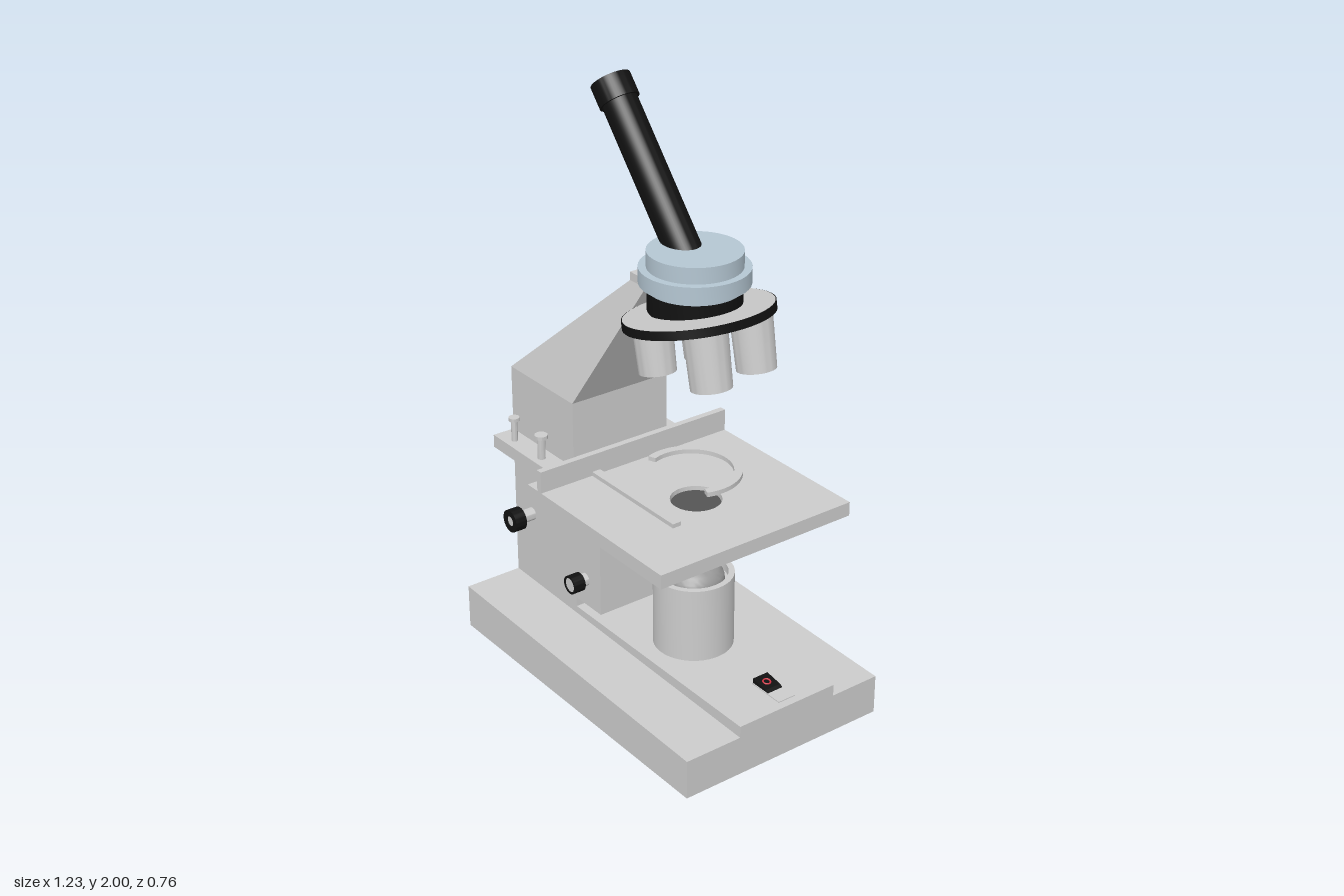
import * as THREE from 'three';
import { toCreasedNormals } from 'three/addons/utils/BufferGeometryUtils.js';

const mat = (color) => new THREE.MeshStandardMaterial({ color });
const grey = mat(0xcccccc), black = mat(0x111111), blue = mat(0xb4c6d2);
const glass = mat(0x555555), red = mat(0xd03040);
const CZ = -0.018; // centre plane of the instrument

export function createModel() {
  const root = new THREE.Group();

  const add = (name, geo, material, x = 0, y = 0, z = 0, parent = root) => {
    const mesh = new THREE.Mesh(geo, material);
    mesh.name = name;
    mesh.position.set(x, y, z);
    parent.add(mesh);
    return mesh;
  };
  // Box given by its limits
  const box = (name, x0, x1, y0, y1, z0, z1, material = grey) =>
    add(name, new THREE.BoxGeometry(x1 - x0, y1 - y0, z1 - z0), material,
      (x0 + x1) / 2, (y0 + y1) / 2, (z0 + z1) / 2);
  // Side outline in x, y extruded from z0 to z1
  const slab = (name, pts, z0, z1, material = grey) => {
    const shape = new THREE.Shape(pts.map((p) => new THREE.Vector2(...p)));
    return add(name, new THREE.ExtrudeGeometry(shape, { depth: z1 - z0, bevelEnabled: false }),
      material, 0, 0, z0);
  };
  // Turned part with sharp edges; profile is [radius, y], bottom to top
  const turned = (name, profile, material, x, y, z, parent = root) => {
    const geo = new THREE.LatheGeometry(profile.map((p) => new THREE.Vector2(...p)), 48);
    return add(name, toCreasedNormals(geo, 0.6), material, x, y, z, parent);
  };
  const rod = (r, h) => [[0, 0], [r, 0], [r, h], [0, h]];
  // Flat shape lying in x, z, extruded upwards from y
  const plate = (name, shape, height, y, x = 0, z = 0) => {
    const geo = new THREE.ExtrudeGeometry(shape, { depth: height, bevelEnabled: false, curveSegments: 32 });
    geo.rotateX(-Math.PI / 2);
    return add(name, toCreasedNormals(geo, 0.6), grey, x, y, z);
  };

  // Base with gently sloping shelves and a raised centre strip
  slab('base', [[-0.615, 0], [0.612, 0], [0.612, 0.135], [-0.615, 0.155]], -0.386, 0.376);
  box('baseStrip', -0.4, 0.612, 0.1, 0.175, -0.206, 0.171);

  // Column and focusing body
  slab('column', [[-0.615, 0.14], [-0.26, 0.14], [-0.26, 0.21], [-0.12, 0.21], [-0.12, 0.652],
    [-0.26, 0.652], [-0.26, 0.93], [-0.615, 0.93]], -0.206, 0.171);

  // Arm: a box whose ends are moved to the column top and the head bracket
  const armGeo = new THREE.BoxGeometry(1, 1, 1).toNonIndexed();
  const p = armGeo.attributes.position;
  for (let i = 0; i < p.count; i++) {
    const top = p.getY(i) > 0, right = p.getX(i) > 0, front = p.getZ(i) > 0;
    if (top) p.setXYZ(i, right ? -0.025 : -0.105, 1.38, front ? 0.052 : -0.088);
    else p.setXYZ(i, right ? -0.26 : -0.615, 0.93, front ? 0.171 : -0.206);
  }
  armGeo.computeVertexNormals();
  add('arm', armGeo, grey);
  box('headBracket', -0.105, 0.02, 1.372, 1.408, -0.088, 0.052);

  // Stage with a round opening, side wings and back rail
  const stage = new THREE.Shape();
  stage.moveTo(-0.255, -0.353).lineTo(0.452, -0.353).lineTo(0.452, 0.389).lineTo(-0.255, 0.389);
  const hole = new THREE.Path();
  hole.absarc(0.143, -CZ, 0.083, 0, Math.PI * 2, true);
  stage.holes.push(hole);
  plate('stage', stage, 0.048, 0.652);
  box('stageWings', -0.615, -0.25, 0.654, 0.699, -0.287, 0.25);
  box('stageRail', -0.2, -0.178, 0.69, 0.775, -0.389, 0.353);

  // Slide holder: straight clip and curved clip
  box('straightClip', -0.18, 0.25, 0.698, 0.714, 0.124, 0.155);
  const arc = new THREE.Shape();
  arc.absarc(0, 0, 0.166, -0.35, Math.PI + 0.35, false);
  arc.absarc(0, 0, 0.138, Math.PI + 0.35, -0.35, true);
  plate('curvedClip', arc, 0.016, 0.699, 0, -0.11);

  // Wing screws
  for (const [x, r] of [[-0.54, 0.018], [-0.38, 0.022]]) {
    turned('wingScrew', [[0, 0], [r * 0.6, 0], [r * 0.6, 0.075], [r, 0.075], [r, 0.087], [0, 0.087]],
      grey, x, 0.698, 0.215);
  }

  // Focus knobs
  const knob = (name, x, y, r, stem, start, end, face) => {
    const g = new THREE.Group();
    g.name = name;
    g.position.set(x, y, 0.168);
    g.rotation.x = Math.PI / 2;
    root.add(g);
    turned(name + 'Stem', rod(stem, start + 0.01), grey, 0, 0, 0, g);
    turned(name + 'Grip', [[0, start], [r, start], [r, end], [face, end], [face, end - 0.008], [0, end - 0.008]],
      black, 0, 0, 0, g);
    turned(name + 'Face', rod(face, 0.006), grey, 0, end - 0.009, 0, g);
  };
  knob('coarseKnob', -0.514, 0.417, 0.04, 0.022, 0.052, 0.094, 0.018);
  knob('fineKnob', -0.204, 0.307, 0.032, 0.022, 0.025, 0.068, 0.025);

  // Lamp housing with recessed top and domed lens
  turned('lampHousing', [[0, 0], [0.132, 0], [0.132, 0.265], [0.112, 0.265], [0.112, 0.235], [0, 0.235]],
    grey, 0.134, 0.168, CZ);
  const dome = [[0, 0], [0.1, 0]];
  for (let i = 0; i <= 10; i++) {
    const a = (i / 10) * Math.PI / 2;
    dome.push([0.1 * Math.cos(a), 0.01 + 0.065 * Math.sin(a)]);
  }
  turned('lampLens', dome, mat(0x999999), 0.134, 0.401, CZ);

  // Condenser below the stage
  turned('condenser', [[0, 0.025], [0.084, 0.025], [0.084, 0], [0.106, 0], [0.106, 0.02], [0.084, 0.02],
    [0.084, 0.105], [0, 0.105]], black, 0.143, 0.55, CZ);
  turned('condenserLens', rod(0.08, 0.115), glass, 0.143, 0.572, CZ);

  // Power switch
  box('switchFrame', 0.453, 0.584, 0.17, 0.178, -0.07, -0.005);
  slab('switchRocker', [[0.453, 0.174], [0.535, 0.174], [0.516, 0.184], [0.453, 0.194]], -0.067, -0.008, black);
  const mark = add('switchMark', new THREE.TorusGeometry(0.012, 0.003, 6, 24), red, 0.486, 0.189, -0.037);
  mark.rotation.set(-Math.PI / 2, 0.16, 0);

  // Head rings
  turned('headCollar', rod(0.146, 0.075), black, 0.13, 1.35, CZ);
  turned('head', [[0, 0], [0.148, 0], [0.148, 0.018], [0.172, 0.018], [0.172, 0.069], [0.148, 0.069],
    [0.148, 0.121], [0, 0.121]], blue, 0.13, 1.419, CZ);

  // Tilted nosepiece with four objectives
  const nose = new THREE.Group();
  nose.name = 'nosepiece';
  nose.position.set(0.163, 1.345, -0.01);
  nose.rotation.z = 0.187;
  root.add(nose);
  const disc = turned('nosepieceDisc', rod(0.243, 0.03), grey, 0, -0.015, 0, nose);
  const rim = turned('nosepieceRim', [[0.238, 0], [0.246, 0], [0.246, 0.028], [0.238, 0.028]],
    black, 0, -0.014, 0, nose);
  disc.scale.x = rim.scale.x = 0.875;
  // Offsets x, z, radius and length of each objective
  const objectives = [[0.105, 0.062, 0.069, 0.19], [0.08, -0.132, 0.067, 0.185],
    [-0.055, 0.138, 0.062, 0.145], [-0.125, -0.075, 0.053, 0.165]];
  for (const [x, z, r, len] of objectives) {
    const inner = r * 0.8;
    turned('objective', [[0, 0.012], [inner, 0.012], [inner, 0], [r * 0.94, 0], [r, len], [0, len]],
      grey, x, -0.01 - len, z, nose);
    turned('objectiveLens', rod(inner, 0.006), glass, x, -0.004 - len, z, nose);
  }

  // Slanted eyepiece tube
  const eye = new THREE.Group();
  eye.name = 'eyepiece';
  eye.position.set(0.09, 1.5, CZ);
  eye.rotation.z = 0.7;
  root.add(eye);
  const L = 0.597;
  turned('eyepieceTube', rod(0.057, L - 0.02), black, 0, 0, 0, eye);
  turned('eyepieceCap', [[0.05, L - 0.075], [0.065, L - 0.075], [0.065, L], [0.057, L], [0.057, L - 0.008],
    [0, L - 0.008]], black, 0, 0, 0, eye);
  turned('eyepieceLens', rod(0.057, 0.006), glass, 0, L - 0.009, 0, eye);

  return root;
}
